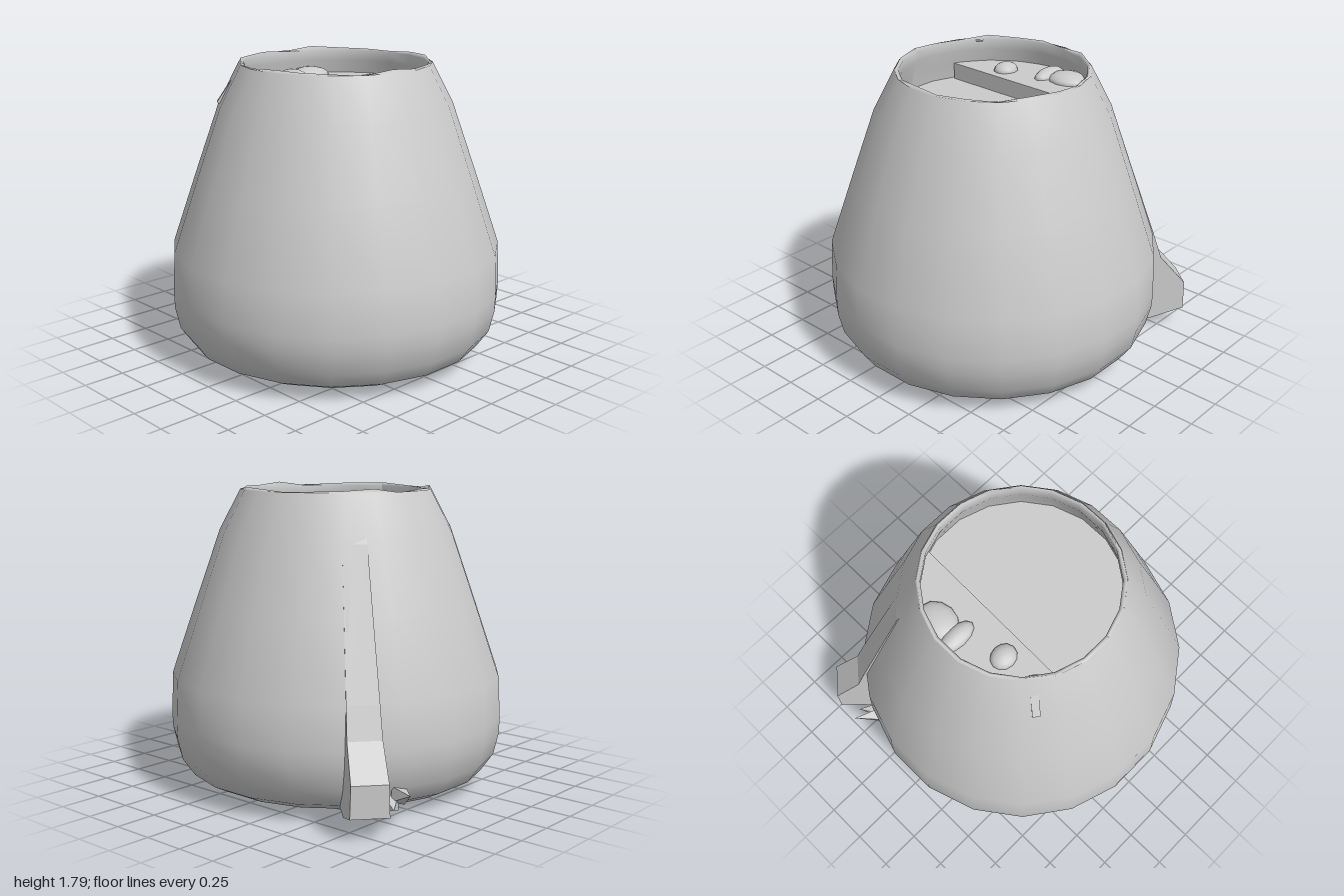
import * as THREE from 'three';

const SIDES = 20;
const grey = () => new THREE.MeshStandardMaterial({ color: 0xcccccc, side: THREE.DoubleSide });

function add(parent, name, geometry, flat = false) {
  const mesh = new THREE.Mesh(geometry, grey());
  mesh.material.flatShading = flat;
  mesh.name = name;
  parent.add(mesh);
  return mesh;
}

// Twenty-sided lathe with flats facing the axes
function turned(profile) {
  const points = profile.map(([r, y]) => new THREE.Vector2(r, y));
  return new THREE.LatheGeometry(points, SIDES, Math.PI / SIDES);
}

// Four-sided spike from a base point to a tip
function spike(parent, base, tip, radius) {
  const a = new THREE.Vector3(...base), b = new THREE.Vector3(...tip);
  const dir = b.clone().sub(a);
  const mesh = add(parent, 'tornCorner', new THREE.ConeGeometry(radius, dir.length(), 4), true);
  mesh.position.copy(a).add(b).multiplyScalar(0.5);
  mesh.quaternion.setFromUnitVectors(new THREE.Vector3(0, 1, 0), dir.normalize());
}

export function createModel() {
  const group = new THREE.Group();

  // Outer wall and underside
  add(group, 'outerWall', turned([
    [0, 0.005], [0.4, 0.01], [0.79, 0.045], [0.9, 0.1], [0.97, 0.2], [1.0, 0.33],
    [1.003, 0.42], [0.992, 0.67], [0.845, 1.1], [0.695, 1.53], [0.57, 1.77],
  ]));

  // Rolled lip and inner wall, with a slightly ragged upper edge
  const lip = turned([[0.57, 1.765], [0.56, 1.775], [0.545, 1.765], [0.55, 1.7], [0.58, 1.6], [0.6, 1.5]]);
  const p = lip.attributes.position;
  for (let i = 0; i < p.count; i++) {
    if (p.getY(i) < 1.77) continue;
    const a = Math.atan2(p.getX(i), p.getZ(i));
    p.setY(i, 1.778 + 0.008 * Math.sin(5 * a) + 0.007 * Math.cos(9 * a));
  }
  lip.computeVertexNormals();
  add(group, 'innerLip', lip);

  // Filling inside the opening
  const floor = add(group, 'innerFloor', new THREE.CircleGeometry(0.6, 40));
  floor.rotation.x = -Math.PI / 2;
  floor.position.y = 1.52;

  // Raised ledge along the right side of the filling
  const segment = new THREE.Shape();
  segment.absarc(0, 0, 0.57, 1.92, Math.PI * 2 - 1.97, false);
  segment.closePath();
  const ledge = add(group, 'innerLedge',
    new THREE.ExtrudeGeometry(segment, { depth: 0.1, bevelEnabled: false, curveSegments: 16 }));
  ledge.rotation.x = -Math.PI / 2;
  ledge.position.y = 1.52;

  // Soft lumps on the ledge
  for (const [x, z, sx, sz] of [[-0.45, -0.2, 0.11, 0.13], [-0.44, -0.06, 0.12, 0.06], [-0.34, 0.2, 0.08, 0.07]]) {
    const lump = add(group, 'lump', new THREE.SphereGeometry(1, 12, 8));
    lump.scale.set(sx, 0.05, sz);
    lump.position.set(x, 1.62, z);
  }

  // Long fold running down the back and flaring into a flap
  const fold = new THREE.Shape([
    [0.58, 1.72], [0.70, 1.5], [0.99, 0.68], [1.05, 0.5], [1.213, 0.31],
    [1.213, 0.13], [1.0, 0.07], [0.8, 0.1], [0.8, 0.7],
  ].map(([r, y]) => new THREE.Vector2(r, y)));
  const foldGeo = new THREE.ExtrudeGeometry(fold, { depth: 0.22, bevelEnabled: false });
  foldGeo.translate(0, 0, -0.11);
  const f = foldGeo.attributes.position;
  for (let i = 0; i < f.count; i++) f.setZ(i, f.getZ(i) * (1 - 0.25 * f.getY(i)));
  foldGeo.computeVertexNormals();
  add(group, 'backFold', foldGeo, true).rotation.y = Math.atan2(0.65, -0.76);

  // Torn corners beside the flap
  spike(group, [-0.85, 0.16, -0.46], [-1.0, 0.21, -0.55], 0.06);
  spike(group, [-0.82, 0.12, -0.49], [-0.93, 0.13, -0.6], 0.06);

  // Narrow strip lying over the rim at the front
  const top = new THREE.Vector3(-0.34, 1.765, 0.42), end = new THREE.Vector3(-0.435, 1.535, 0.54);
  const strip = add(group, 'rimStrip', new THREE.BoxGeometry(0.045, 0.018, top.distanceTo(end)), true);
  strip.position.copy(top).add(end).multiplyScalar(0.5);
  strip.lookAt(end);

  return group;
}
